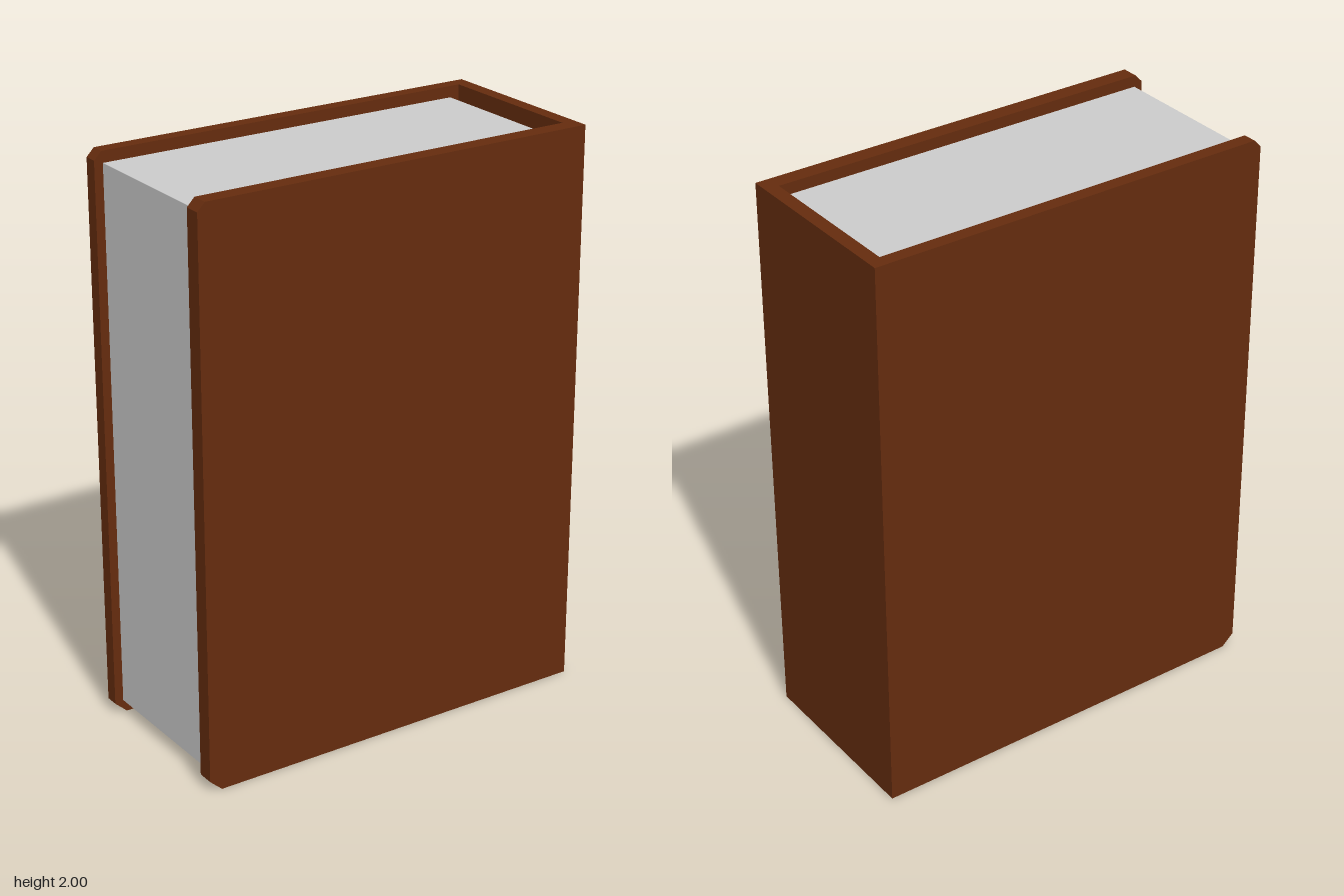
import * as THREE from 'three';

const leather = new THREE.MeshStandardMaterial({ color: 0x652c0e });
leather.name = 'brownLeather';
const paper = new THREE.MeshStandardMaterial({ color: 0xcccccc });
paper.name = 'paper';

// Flat outline in x and y, extruded from z0 to z1
function slab(name, points, z0, z1, material) {
  const shape = new THREE.Shape(points.map(([x, y]) => new THREE.Vector2(x, y)));
  const geometry = new THREE.ExtrudeGeometry(shape, { depth: z1 - z0, bevelEnabled: false });
  geometry.translate(0, 0, z0);
  const mesh = new THREE.Mesh(geometry, material);
  mesh.name = name;
  return mesh;
}

// Outline of a plain rectangle
const rect = (x0, y0, x1, y1) => [[x0, y0], [x1, y0], [x1, y1], [x0, y1]];

export function createModel() {
  const book = new THREE.Group();
  book.name = 'book';

  const innerBack = -0.287, innerFront = 0.276;

  // Covers, with the two corners at the opening edge cut off
  const cover = [
    [-0.69, 0], [0.73, 0], [0.73, 2],
    [-0.707, 2], [-0.734, 1.972], [-0.734, 0.04],
  ];
  book.add(slab('frontCover', cover, innerFront, 0.335, leather));
  book.add(slab('backCover', cover, -0.335, innerBack, leather));

  // Spine joining the covers
  book.add(slab('spine', rect(0.682, 0, 0.73, 2), innerBack, innerFront, leather));

  // Recessed page block
  book.add(slab('pages', rect(-0.703, 0.045, 0.647, 1.96), innerBack, innerFront, paper));

  // Binding between pages and spine, sloping away from the pages
  const binding = [[0.647, 0.045], [0.682, 0.065], [0.682, 1.94], [0.647, 1.96]];
  book.add(slab('binding', binding, innerBack, innerFront, leather));

  return book;
}
